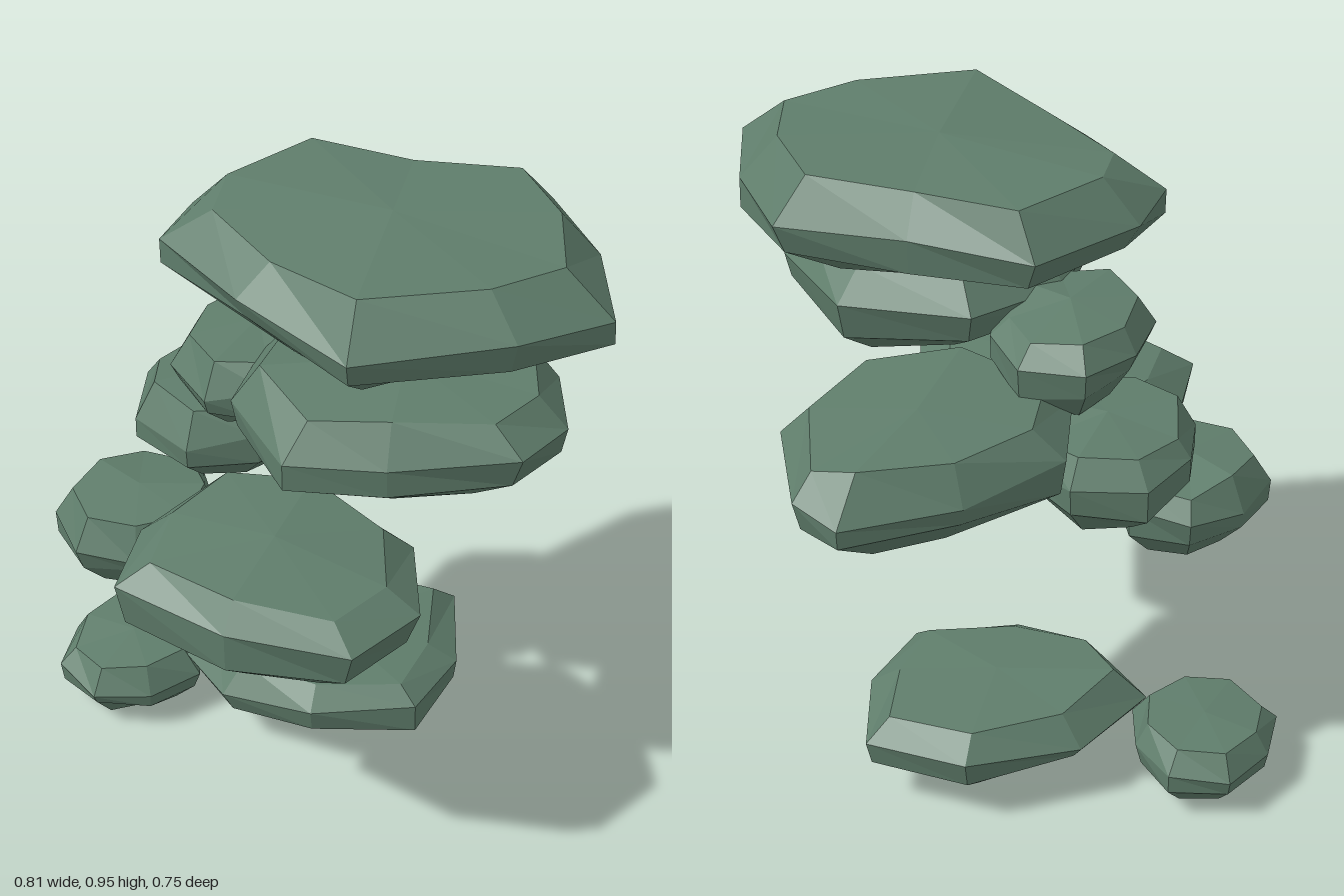
import * as THREE from 'three';

// Small seeded generator for the rough, hewn look
function seeded(seed) {
  let s = seed * 7919 + 17;
  return () => {
    s = (s * 16807) % 2147483647;
    return s / 2147483647 - 0.5;
  };
}

// Each level of a pad: [share of the outline, share of the height]
const LEVELS = [[0, 0], [0.62, 0.1], [0.95, 0.4], [1, 0.65], [0.8, 0.93], [0, 1]];

// Faceted foliage pad grown from a plan outline of [x, z] points
function padGeometry(outline, y0, y1, seed) {
  const rnd = seeded(seed);
  const n = outline.length;
  const cx = outline.reduce((t, p) => t + p[0], 0) / n;
  const cz = outline.reduce((t, p) => t + p[1], 0) / n;
  const angle = (p) => Math.atan2(p[1] - cz, p[0] - cx);
  const ring = [...outline].sort((a, b) => angle(a) - angle(b));
  const pos = [], index = [];
  for (const [s, h] of LEVELS) {
    const pole = s === 0;
    for (const [x, z] of ring) {
      const k = pole ? 0 : s === 1 ? 1 : s * (1 + rnd() * 0.12);
      const dy = pole ? 0 : rnd() * 0.13;
      const t = Math.min(1, Math.max(0, h + dy));
      pos.push(cx + (x - cx) * k, y0 + (y1 - y0) * t, cz + (z - cz) * k);
    }
  }
  const last = LEVELS.length - 2;
  for (let l = 0; l <= last; l++) {
    for (let i = 0; i < n; i++) {
      const a = l * n + i, b = l * n + (i + 1) % n;
      if (l < last) index.push(a, a + n, b + n);
      if (l > 0) index.push(a, b + n, b);
      if (l === last) index.push(a, a + n, b);
    }
  }
  // the top fan needs only one triangle per side
  index.splice(index.length - n * 6, n * 6);
  for (let i = 0; i < n; i++) {
    const a = last * n + i, b = last * n + (i + 1) % n;
    index.push(a, a + n, b);
  }
  const g = new THREE.BufferGeometry();
  g.setAttribute('position', new THREE.Float32BufferAttribute(pos, 3));
  g.setIndex(index);
  const flat = g.toNonIndexed();
  flat.computeVertexNormals();
  return flat;
}

// Rough oval outline for the small clumps
function oval(x, z, rx, rz, turn) {
  return Array.from({ length: 8 }, (_, i) => {
    const a = (i / 8) * Math.PI * 2 + turn;
    const k = i % 3 === 1 ? 0.93 : 1.03;
    return [x + Math.cos(a) * rx * k, z + Math.sin(a) * rz * k];
  });
}

export function createModel() {
  const group = new THREE.Group();
  group.name = 'foliagePads';
  const foliage = new THREE.MeshStandardMaterial({ color: 0x5f7d6b, flatShading: true });
  foliage.name = 'grey green foliage';

  const pads = [
    // large pads, top to bottom
    ['topPad', [[0.40, 0.06], [0.41, -0.04], [0.51, -0.18], [0.68, -0.18], [0.86, -0.185], [0.95, -0.07],
      [1.0, 0.07], [0.90, 0.17], [0.71, 0.26], [0.54, 0.17]], 1.55, 1.72],
    ['upperPad', [[0.53, 0.04], [0.62, -0.1], [0.8, -0.12], [0.92, 0], [0.955, 0.1],
      [0.92, 0.2], [0.76, 0.25], [0.63, 0.27], [0.53, 0.17]], 1.39, 1.56],
    ['backPad', [[0.46, -0.2], [0.56, -0.33], [0.7, -0.42], [0.77, -0.39], [0.85, -0.22],
      [0.8, -0.06], [0.65, 0], [0.49, -0.06]], 1.27, 1.43],
    ['frontPad', [[0.4, 0.28], [0.57, 0.335], [0.74, 0.33], [0.8, 0.22], [0.75, 0.07],
      [0.6, 0], [0.46, 0.03], [0.39, 0.15]], 1.13, 1.3],
    ['lowestPad', [[0.38, -0.03], [0.46, 0.04], [0.6, 0.06], [0.74, 0], [0.77, -0.12],
      [0.73, -0.26], [0.58, -0.27], [0.44, -0.17]], 0.79, 0.925],
    // small clumps on the inner side
    ['upperClump', oval(0.51, -0.01, 0.115, 0.13, 0.3), 1.37, 1.51],
    ['backClump', oval(0.44, -0.07, 0.13, 0.13, 0.1), 1.235, 1.38],
    ['frontClump', oval(0.355, 0.06, 0.115, 0.115, 0.5), 1.11, 1.25],
    ['lowestClump', oval(0.29, -0.05, 0.11, 0.115, 0.2), 0.77, 0.88],
  ];

  pads.forEach(([name, outline, y0, y1], i) => {
    const mesh = new THREE.Mesh(padGeometry(outline, y0, y1, i + 3), foliage);
    mesh.name = name;
    group.add(mesh);
  });
  return group;
}
